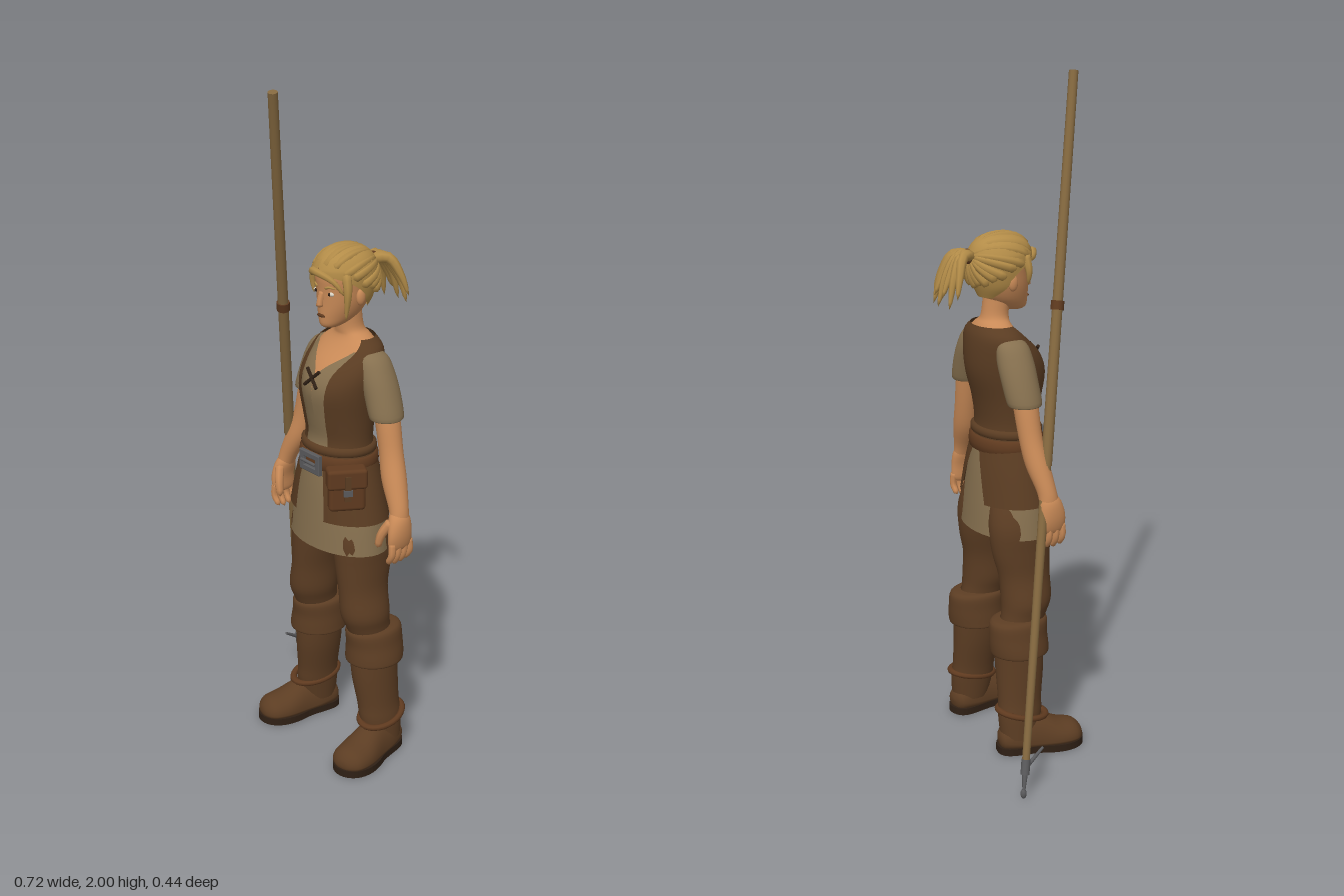
import * as THREE from 'three';
import { mergeVertices } from 'three/addons/utils/BufferGeometryUtils.js';
import { RoundedBoxGeometry } from 'three/addons/geometries/RoundedBoxGeometry.js';

const V = (x, y, z) => new THREE.Vector3(x, y, z);
const mat = (name, color) => new THREE.MeshStandardMaterial({ name, color, side: THREE.DoubleSide });

// Smooth skin over horizontal rings [y, cx, cz, rx, rzFront, rzBack, startAngle, endAngle], bottom to top
function loft(rings, seg = 28, sub = 4) {
  const rows = rings.map(r => (r.length > 6 ? r : [...r, 0, Math.PI * 2]));
  const at = i => rows[Math.min(Math.max(i, 0), rows.length - 1)];
  const pos = [], idx = [], n = (rows.length - 1) * sub;
  for (let k = 0; k <= n; k++) {
    const i = Math.min(Math.floor(k / sub), rows.length - 2), t = k / sub - i;
    const [y, cx, cz, rx, f, b, a0, a1] = at(i).map((p1, c) => {
      const p0 = at(i - 1)[c], p2 = at(i + 1)[c], p3 = at(i + 2)[c];
      const v = p1 + 0.5 * t * (p2 - p0 + t * (2 * p0 - 5 * p1 + 4 * p2 - p3 + t * (3 * (p1 - p2) + p3 - p0)));
      return c > 2 && c < 6 ? Math.max(v, 0) : v;
    });
    for (let j = 0; j <= seg; j++) {
      const a = a0 + (a1 - a0) * j / seg, c = Math.cos(a);
      pos.push(cx + rx * Math.sin(a), y, cz + c * (c > 0 ? f : b));
      if (k < n && j < seg) {
        const p = k * (seg + 1) + j, q = p + seg + 1;
        idx.push(p, p + 1, q + 1, p, q + 1, q);
      }
    }
  }
  const g = new THREE.BufferGeometry();
  g.setAttribute('position', new THREE.Float32BufferAttribute(pos, 3));
  g.setIndex(idx);
  const m = mergeVertices(g, 1e-5);
  m.computeVertexNormals();
  return m;
}

// Tapering tube with closed ends
function strand(points, r, tip) {
  const curve = new THREE.CatmullRomCurve3(points), n = 10, side = 7;
  const g = new THREE.TubeGeometry(curve, n, r, side), p = g.attributes.position, v = V();
  for (let i = 0; i <= n; i++) {
    const t = i / n, c = curve.getPointAt(t), k = i === 0 || i === n ? 0 : 1 - (1 - tip) * t * t;
    for (let j = 0; j <= side; j++) {
      const q = i * (side + 1) + j;
      v.fromBufferAttribute(p, q).sub(c).multiplyScalar(k).add(c);
      p.setXYZ(q, v.x, v.y, v.z);
    }
  }
  g.deleteAttribute('uv');
  g.deleteAttribute('normal');
  const m = mergeVertices(g, 1e-5);
  m.computeVertexNormals();
  return m;
}

// Straight round bar from a to b
function bar(a, b, ra, rb = ra, sides = 12) {
  const d = b.clone().sub(a), g = new THREE.CylinderGeometry(rb, ra, d.length(), sides);
  g.applyQuaternion(new THREE.Quaternion().setFromUnitVectors(V(0, 1, 0), d.normalize()));
  const c = a.clone().add(b).multiplyScalar(0.5);
  return g.translate(c.x, c.y, c.z);
}

const ball = (x, y, z, rx, ry, rz) => new THREE.SphereGeometry(1, 16, 10).scale(rx, ry, rz).translate(x, y, z);
const grow = (rings, d) => rings.map(([y, x, z, a, f, b]) => [y, x, z, a + d, f + d, b + d]);
const openFront = (rings, gaps) => gaps.map((g, i) => [...rings[i], g, Math.PI * 2 - g]);

export function createModel() {
  const skin = mat('skin', 0xc98a57), hair = mat('hair', 0xb38c48), leather = mat('vest leather', 0x5a3c22),
    brown = mat('trouser brown', 0x5c3d23), linen = mat('linen', 0x86704f), belt = mat('belt leather', 0x5f3a1f),
    metal = mat('metal', 0x5a5a5c), dark = mat('dark', 0x2f2015), wood = mat('wood', 0x84683f), white = mat('eye white', 0xd8d0c0);
  const model = new THREE.Group(), body = new THREE.Group();
  body.name = 'body';
  body.position.x = 0.065;
  model.add(body);
  const add = (name, geo, m, parent = body) => {
    const mesh = new THREE.Mesh(geo, m);
    mesh.name = name;
    parent.add(mesh);
    return mesh;
  };

  // Torso, shirt and open vest share one profile
  const torso = [[0.95, 0, 0, 0.105, 0.09, 0.083], [1, 0, 0, 0.098, 0.076, 0.074], [1.07, 0, 0, 0.102, 0.088, 0.083],
    [1.15, 0, 0, 0.112, 0.1, 0.104], [1.21, 0, -0.01, 0.116, 0.085, 0.098], [1.265, 0, -0.035, 0.105, 0.06, 0.068],
    [1.295, 0, -0.04, 0.068, 0.045, 0.05], [1.315, 0, -0.035, 0.042, 0.04, 0.042]];
  add('chestAndNeck', loft([...torso, [1.36, 0, -0.028, 0.038, 0.036, 0.042], [1.4, 0, -0.025, 0.038, 0.036, 0.042]]), skin);
  add('shirt', loft(openFront(grow(torso, 0.004), [0, 0, 0, 0, 0.1, 0.75])), linen);
  add('vest', loft(openFront(grow(torso, 0.012), [0.42, 0.42, 0.42, 0.45, 0.5, 0.8, 1.15])), leather);
  for (const s of [1, -1]) add('lacing', bar(V(-0.026 * s, 1.165, 0.107), V(0.026 * s, 1.212, 0.096), 0.005), dark);

  // Tunic skirt with vest flaps split at front and back
  const skirt = [[0.675, 0, 0, 0.177, 0.114, 0.12], [0.77, 0, 0, 0.162, 0.108, 0.112], [0.87, 0, 0, 0.135, 0.1, 0.1], [0.97, 0, 0, 0.103, 0.085, 0.08]];
  add('tunicSkirt', loft(skirt, 36), linen);
  for (const s of [1, -1]) {
    const ends = [[0.37, Math.PI - 0.42], [0.37, Math.PI - 0.27], [0.3, Math.PI - 0.03]];
    const flap = grow(skirt.slice(1), 0.011).map((r, i) => [...r, ...(s > 0 ? ends[i] : [-ends[i][1], -ends[i][0]])]);
    add('vestFlap', loft(flap), leather);
  }
  const hip = [0, 0, 0.106, 0.088, 0.083];
  const band = (y0, y1, d) => loft(grow([[y0, ...hip], [y0 + 0.006, ...hip], [y1 - 0.006, ...hip], [y1, ...hip]], 0)
    .map((r, i) => { const e = i % 3 ? d : 0.004; return [r[0], 0, 0, r[3] + e, r[4] + e, r[5] + e]; }), 36, 2);
  add('belt', band(0.915, 0.962, 0.019), belt);
  add('waistband', band(0.962, 0.99, 0.014), leather);

  // Belt buckle
  const frame = new THREE.Shape([[-0.042, -0.028], [0.042, -0.028], [0.042, 0.028], [-0.042, 0.028]].map(p => new THREE.Vector2(...p)));
  frame.holes.push(new THREE.Path([[-0.027, -0.015], [-0.027, 0.015], [0.027, 0.015], [0.027, -0.015]].map(p => new THREE.Vector2(...p))));
  const frameGeo = new THREE.ExtrudeGeometry(frame, { depth: 0.01, bevelSize: 0.002, bevelThickness: 0.002, bevelSegments: 1 });
  add('beltBuckle', frameGeo, metal).position.set(0.005, 0.938, 0.105);
  add('bucklePin', bar(V(-0.03, 0.938, 0.116), V(0.035, 0.938, 0.118), 0.005), metal);

  // Hip pouch
  const pouch = new THREE.Group();
  pouch.name = 'pouch';
  pouch.position.set(0.126, 0.885, 0.078);
  pouch.rotation.y = 1.05;
  body.add(pouch);
  add('pouchBag', new RoundedBoxGeometry(0.105, 0.12, 0.045, 3, 0.012), belt, pouch);
  add('pouchLid', new RoundedBoxGeometry(0.115, 0.06, 0.054, 3, 0.01), belt, pouch).position.y = 0.037;
  add('pouchStrap', new THREE.BoxGeometry(0.018, 0.075, 0.008), leather, pouch).position.set(0, 0.012, 0.027);
  add('pouchClasp', new THREE.BoxGeometry(0.026, 0.018, 0.008), metal, pouch).position.set(0, 0, 0.03);

  // Hips
  add('hips', loft([[0.69, 0, -0.01, 0, 0, 0], [0.7, 0, -0.01, 0.09, 0.05, 0.06], [0.76, 0, -0.005, 0.135, 0.085, 0.095], [0.9, 0, 0, 0.11, 0.08, 0.08]]), brown);

  for (const s of [1, -1]) {
    const sided = rings => loft(rings.map(([y, x, ...r]) => [y, x * s, ...r]));
    const P = (x, y, z) => V(x * s, y, z);

    // Arm, sleeve and hand
    add('sleeve', sided([[1.095, 0.16, -0.032, 0.036, 0.036, 0.036], [1.09, 0.167, -0.032, 0.047, 0.05, 0.05], [1.15, 0.145, -0.033, 0.05, 0.051, 0.056],
      [1.21, 0.118, -0.033, 0.05, 0.05, 0.056], [1.255, 0.1, -0.035, 0.036, 0.04, 0.042], [1.277, 0.085, -0.035, 0, 0, 0]]), linen);
    add('arm', sided([[0.81, 0.262, -0.005, 0.022, 0.03, 0.03], [0.85, 0.25, -0.008, 0.029, 0.028, 0.029], [0.92, 0.218, -0.018, 0.038, 0.033, 0.036],
      [1, 0.192, -0.028, 0.036, 0.033, 0.034], [1.1, 0.168, -0.032, 0.036, 0.036, 0.036], [1.18, 0.14, -0.033, 0.03, 0.03, 0.03]]), skin);
    add('palm', sided([[0.725, 0.265, 0, 0, 0, 0], [0.735, 0.266, 0, 0.014, 0.035, 0.036], [0.78, 0.268, 0, 0.021, 0.041, 0.04],
      [0.83, 0.258, -0.004, 0.024, 0.03, 0.03], [0.86, 0.247, -0.006, 0, 0, 0]]), skin);
    for (let k = 0; k < 4; k++) {
      const z = 0.029 - 0.02 * k, y = 0.678 + 0.006 * Math.abs(k - 1.3);
      add('finger', strand([P(0.268, 0.76, z), P(0.27, 0.715, z * 1.1), P(0.25, y, z)], 0.0115, 0.7), skin);
    }
    add('thumb', strand([P(0.258, 0.82, 0.02), P(0.236, 0.775, 0.04), P(0.224, 0.73, 0.045)], 0.0145, 0.65), skin);

    // Trouser leg
    add('trouserLeg', sided([[0.38, 0.125, -0.02, 0.052, 0.06, 0.07], [0.43, 0.123, -0.01, 0.058, 0.072, 0.07], [0.475, 0.12, -0.002, 0.066, 0.08, 0.076],
      [0.55, 0.11, -0.002, 0.06, 0.082, 0.08], [0.63, 0.101, -0.005, 0.067, 0.09, 0.095], [0.72, 0.092, -0.005, 0.072, 0.092, 0.1], [0.85, 0.06, 0, 0.055, 0.075, 0.08]]), brown);

    // Boot with folded cuff
    add('bootCuff', sided([[0.335, 0.13, -0.03, 0.05, 0.06, 0.06], [0.313, 0.131, -0.03, 0.08, 0.087, 0.084], [0.33, 0.131, -0.03, 0.082, 0.09, 0.09],
      [0.37, 0.128, -0.03, 0.076, 0.088, 0.092], [0.413, 0.125, -0.028, 0.07, 0.088, 0.09], [0.422, 0.124, -0.025, 0.05, 0.06, 0.06]]), brown);
    add('bootShaft', sided([[0.05, 0.155, -0.045, 0.05, 0.06, 0.058], [0.12, 0.15, -0.04, 0.053, 0.07, 0.068], [0.17, 0.144, -0.035, 0.053, 0.068, 0.07],
      [0.26, 0.133, -0.03, 0.06, 0.075, 0.076], [0.34, 0.127, -0.03, 0.062, 0.078, 0.078]]), brown);
    const foot = new THREE.Group();
    foot.name = 'foot';
    foot.position.set(0.165 * s, 0, 0);
    foot.rotation.y = 0.2 * s;
    body.add(foot);
    const upper = loft([[-0.112, 0, -0.045, 0, 0, 0], [-0.1, 0, -0.04, 0.035, 0.03, 0.035], [-0.05, 0, -0.035, 0.05, 0.03, 0.075], [0.01, 0, -0.03, 0.053, 0.025, 0.085],
      [0.075, 0, -0.03, 0.061, 0.025, 0.055], [0.125, 0, -0.03, 0.054, 0.022, 0.042], [0.148, 0, -0.03, 0.028, 0.014, 0.02], [0.153, 0, -0.03, 0, 0, 0]]);
    add('bootUpper', upper.rotateX(Math.PI / 2), brown, foot);
    const outline = new THREE.Shape();
    outline.moveTo(0, -0.115);
    outline.bezierCurveTo(0.07, -0.115, 0.035, -0.03, 0.058, 0.03);
    outline.bezierCurveTo(0.08, 0.11, 0.045, 0.157, 0, 0.157);
    outline.bezierCurveTo(-0.045, 0.157, -0.08, 0.11, -0.058, 0.03);
    outline.bezierCurveTo(-0.035, -0.03, -0.07, -0.115, 0, -0.115);
    add('bootSole', new THREE.ExtrudeGeometry(outline, { depth: 0.022, bevelEnabled: false }).rotateX(Math.PI / 2).translate(0, 0.022, 0), dark, foot);
    add('bootStrap', new THREE.TorusGeometry(0.058, 0.009, 8, 28).rotateX(Math.PI / 2 + 0.25).scale(1, 1, 1.28).translate(0, 0.125, -0.037), belt, foot);

    // Eye, brow and ear
    add('eyeWhite', ball(0.03 * s, 1.432, 0.058, 0.013, 0.006, 0.006), white);
    add('iris', ball(0.029 * s, 1.432, 0.062, 0.005, 0.005, 0.004), dark);
    add('brow', strand([P(0.014, 1.447, 0.067), P(0.03, 1.452, 0.063), P(0.047, 1.447, 0.05)], 0.004, 0.4), hair);
    add('ear', ball(0.072 * s, 1.42, -0.015, 0.01, 0.024, 0.015), skin);
    add('sideLock', strand([P(0.06, 1.5, 0.03), P(0.076, 1.45, 0.035), P(0.07, s > 0 ? 1.36 : 1.41, 0.036)], 0.014, 0.15), hair);
  }

  // Head and face
  add('head', loft([[1.324, 0, 0.035, 0, 0, 0], [1.334, 0, 0.03, 0.026, 0.033, 0.04], [1.362, 0, 0, 0.048, 0.068, 0.06], [1.4, 0, -0.01, 0.063, 0.078, 0.08],
    [1.44, 0, -0.015, 0.07, 0.084, 0.088], [1.48, 0, -0.015, 0.073, 0.086, 0.09], [1.52, 0, -0.015, 0.058, 0.07, 0.072], [1.545, 0, -0.015, 0, 0, 0]]), skin);
  add('nose', strand([V(0, 1.437, 0.062), V(0, 1.41, 0.071), V(0, 1.39, 0.074)], 0.0095, 1.15), skin);
  add('lips', ball(0, 1.366, 0.068, 0.017, 0.005, 0.005), belt);

  // Hair cap with locks combed back to a knot
  add('hairCap', loft([[1.375, 0, -0.03, 0.05, 0.05, 0.055, 2.2, 4.08], [1.405, 0, -0.022, 0.072, 0.085, 0.076, 1.75, 4.53], [1.44, 0, -0.02, 0.081, 0.096, 0.09, 1.5, 4.78],
    [1.47, 0, -0.02, 0.084, 0.1, 0.095, 1, 5.28], [1.49, 0, -0.02, 0.083, 0.1, 0.095, 0.3, 5.98], [1.505, 0, -0.02, 0.079, 0.096, 0.092, 0, Math.PI * 2],
    [1.53, 0, -0.02, 0.063, 0.08, 0.077, 0, Math.PI * 2], [1.55, 0, -0.02, 0.033, 0.045, 0.045, 0, Math.PI * 2], [1.556, 0, -0.02, 0, 0, 0, 0, Math.PI * 2]]), hair);
  const knot = V(0, 0.35, -0.94);
  for (let i = 0; i < 20; i++) {
    const a = (i + 0.5) / 20 * Math.PI * 2, el = -0.15 + 0.5 * Math.cos(a) + 0.07 * (i % 2);
    const from = V(Math.cos(el) * Math.sin(a), Math.sin(el), Math.cos(el) * Math.cos(a));
    const pts = [0, 0.2, 0.4, 0.6, 0.8, 1].map(t => from.clone().lerp(knot, t).normalize().multiply(V(0.079, 0.092, 0.096)).add(V(0, 1.46, -0.02)));
    add('hairLock', strand(pts, 0.0145, 0.5), hair);
  }
  add('fringe', strand([V(-0.055, 1.475, 0.05), V(-0.01, 1.495, 0.084), V(0.05, 1.47, 0.062), V(0.07, 1.43, 0.04)], 0.012, 0.3), hair);
  add('hairTie', new THREE.TorusGeometry(0.016, 0.007, 8, 16).translate(0, 1.495, -0.122), belt);
  for (let i = -3; i <= 3; i++) {
    const w = i / 3, drop = 0.03 * Math.abs(i % 2);
    add('ponytailLock', strand([V(0, 1.495, -0.105), V(0.028 * w, 1.5, -0.15), V(0.055 * w, 1.45, -0.188 + 0.012 * w * w),
      V(0.072 * w, 1.36 + drop, -0.218 + 0.025 * w * w)], 0.017, 0.2), hair);
  }

  // Long pole with ring, metal tip and prong
  const foot = V(-0.345, 0.08, -0.172), top = V(0.045, 1.995, 0.212), on = t => foot.clone().lerp(top, t);
  add('pole', bar(foot, on(0.44), 0.011, 0.014), wood, model);
  add('poleUpper', bar(on(0.44), top, 0.016, 0.0135), wood, model);
  add('poleRing', bar(on(0.662), on(0.675), 0.019), belt, model);
  add('poleCollar', bar(on(-0.004), on(0.018), 0.013), metal, model);
  add('poleTip', bar(on(-0.03), foot, 0.004, 0.009), metal, model);
  add('tipKnob', ball(-0.355, 0.017, -0.183, 0.009, 0.015, 0.009), metal, model);
  add('prong', bar(on(0.005), V(-0.33, 0.132, -0.104), 0.007, 0.004), metal, model);
  return model;
}
